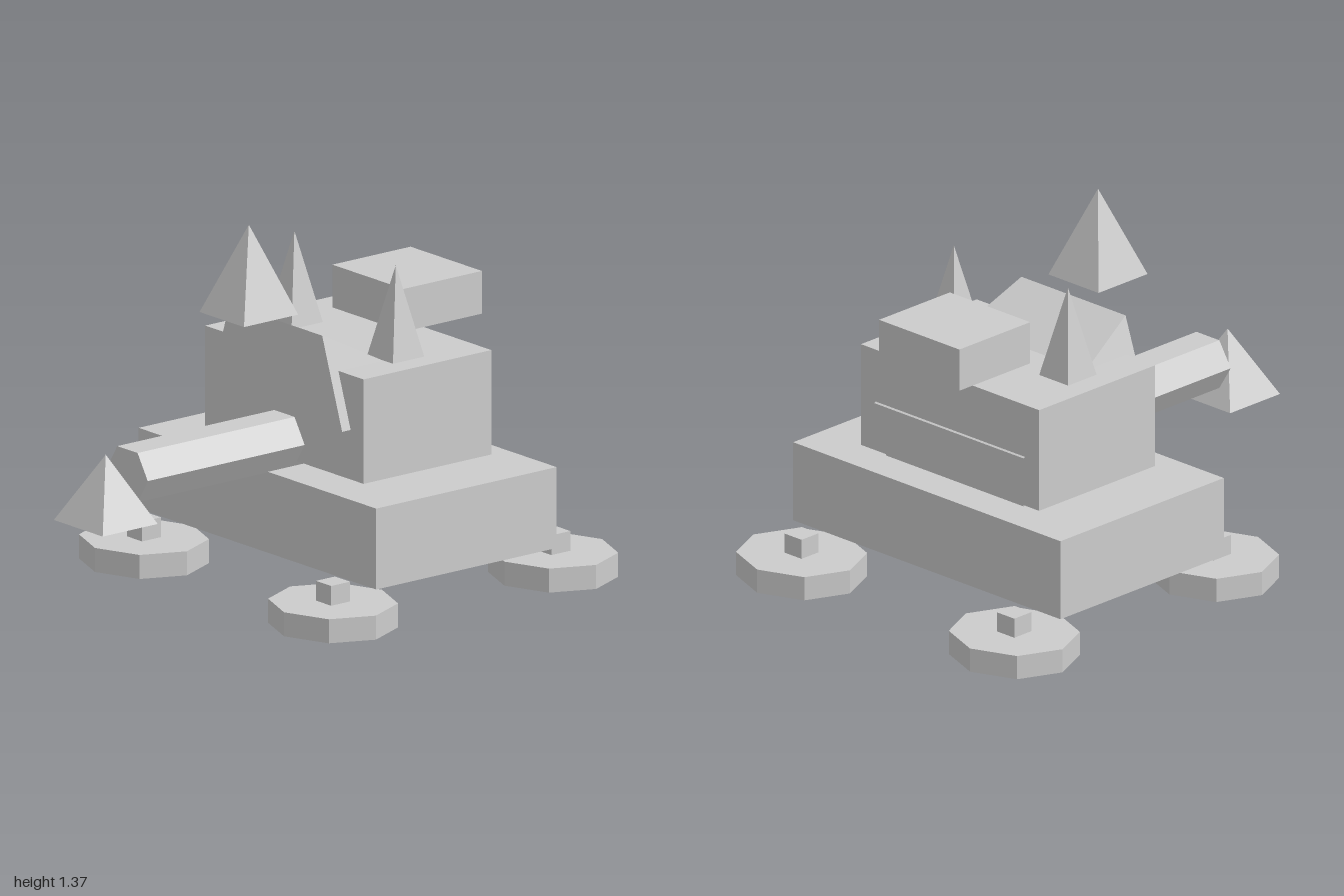
import * as THREE from 'three';

const grey = new THREE.MeshStandardMaterial({ color: 0xcccccc });
grey.name = 'plain grey';

export function createModel() {
  const model = new THREE.Group();
  model.name = 'wheeledTank';

  // Every part is faceted, so each face gets its own normals
  function add(name, geometry, x, y, z, parent = model) {
    const flat = geometry.index ? geometry.toNonIndexed() : geometry;
    flat.computeVertexNormals();
    const mesh = new THREE.Mesh(flat, grey);
    mesh.name = name;
    mesh.position.set(x, y, z);
    parent.add(mesh);
    return mesh;
  }

  const box = (w, h, d) => new THREE.BoxGeometry(w, h, d);

  // Square pyramid with sides along x and z
  const pyramid = (w, h, d) =>
    new THREE.ConeGeometry(Math.SQRT1_2, 1, 4).rotateY(Math.PI / 4).scale(w, h, d);

  // Hull and turret
  add('hull', box(1.344, 0.303, 0.84), 0, 0.299, -0.255);
  add('turretMount', box(0.69, 0.1, 0.193), 0, 0.46, -0.435);
  add('turret', box(0.896, 0.391, 0.595), 0, 0.665, -0.258);

  // Sloping wedge: a box whose top is drawn in to one narrower edge at the front
  const wedge = box(0.75, 0.335, 0.642);
  const p = wedge.attributes.position;
  for (let i = 0; i < p.count; i++) {
    if (p.getY(i) > 0) {
      p.setX(i, Math.sign(p.getX(i)) * 0.262);
      if (p.getZ(i) < 0) {
        p.setX(i, Math.sign(p.getX(i)) * 0.375);
        p.setY(i, -0.1675);
      }
    }
  }
  add('turretWedge', wedge, 0, 0.8225, -0.242);

  // Floating block and pyramid above the turret
  add('rearBlock', box(0.404, 0.16, 0.364), 0, 0.992, -0.532);
  add('topPyramid', pyramid(0.252, 0.332, 0.252), 0, 1.204, 0.205);

  // Six-sided barrel with a pyramid at its muzzle
  const barrel = new THREE.CylinderGeometry(1, 1, 0.77, 6)
    .rotateY(Math.PI / 2).rotateX(Math.PI / 2).scale(0.115, 0.1068, 1);
  add('barrel', barrel, 0, 0.54, 0.385);
  add('muzzlePyramid', pyramid(0.277, 0.252, 0.256), 0, 0.506, 0.871);

  for (const side of [-1, 1]) {
    const label = side > 0 ? 'left' : 'right';
    add(label + 'Spike', pyramid(0.146, 0.34, 0.146), side * 0.287, 1.03, -0.243);

    // Flat eight-sided wheels, each with a small hub
    for (const [end, z] of [['Front', 0.253], ['Rear', -0.772]]) {
      const wheel = new THREE.Group();
      wheel.name = label + end + 'Wheel';
      wheel.position.set(side * 0.535, 0, z);
      model.add(wheel);
      const disc = new THREE.CylinderGeometry(1, 1, 0.09, 8).scale(0.243, 1, 0.228);
      add('disc', disc, 0, 0.045, 0, wheel);
      add('hub', box(0.086, 0.076, 0.088), 0, 0.126, 0, wheel);
    }
  }

  return model;
}
